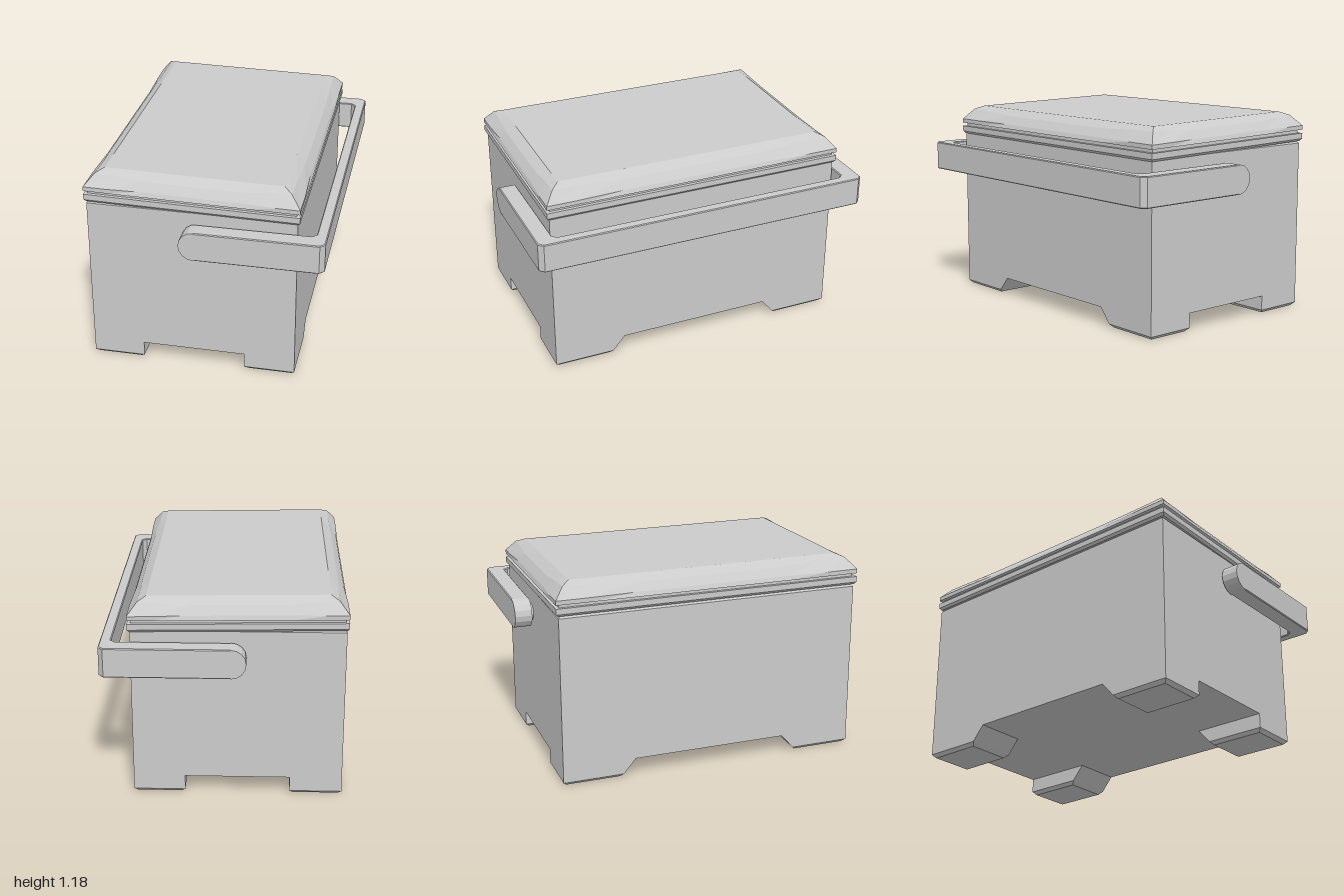
import * as THREE from 'three';

const material = new THREE.MeshStandardMaterial({ color: 0xcccccc, flatShading: true });

// Skin a stack of rings, listed bottom to top and anticlockwise from above
function loft(rings) {
  const pos = [];
  const tri = (a, b, c) => pos.push(...a, ...b, ...c);
  const n = rings[0].length;
  const centre = (r) => [0, 1, 2].map((k) => r.reduce((s, p) => s + p[k], 0) / n);
  const low = rings[0], high = rings[rings.length - 1];
  const cl = centre(low), ch = centre(high);
  for (let j = 0; j < n; j++) {
    const m = (j + 1) % n;
    for (let i = 0; i < rings.length - 1; i++) {
      const a = rings[i], b = rings[i + 1];
      tri(a[j], a[m], b[m]);
      tri(a[j], b[m], b[j]);
    }
    tri(cl, low[m], low[j]);
    tri(ch, high[j], high[m]);
  }
  const g = new THREE.BufferGeometry();
  g.setAttribute('position', new THREE.Float32BufferAttribute(pos, 3));
  g.computeVertexNormals();
  return g;
}

const rect = (y, x0, x1, z0, z1) => [[x0, y, z1], [x1, y, z1], [x1, y, z0], [x0, y, z0]];

// Lid ring: 4 corners plus 4 points per side, which may be inset and raised
// differently near the corners and mid side; the whole lid tilts towards +x
function lidRing(y, inset, yNear = y, yMid = y, insetMid = inset) {
  const cx = -0.076, hx = 0.599, hz = 0.9;
  const pts = [];
  const corners = [[-1, 1], [1, 1], [1, -1], [-1, -1]];
  corners.forEach((c, i) => {
    const d = corners[(i + 1) % 4];
    for (const t of [0, 0.1, 0.25, 0.75, 0.9]) {
      const mid = t === 0.25 || t === 0.75;
      const py = t === 0 ? y : mid ? yMid : yNear;
      const side = mid ? insetMid : inset;
      const alongX = c[1] === d[1];
      const u = c[0] + (d[0] - c[0]) * t, v = c[1] + (d[1] - c[1]) * t;
      const x = cx + u * (hx - (alongX ? inset : side));
      const z = v * (hz - (alongX ? side : inset));
      pts.push([x, py - 0.017 * (x + 0.675), z]);
    }
  });
  return pts;
}

export function createModel() {
  const root = new THREE.Group();
  const add = (name, geometry, parent = root) => {
    const mesh = new THREE.Mesh(geometry, material);
    mesh.name = name;
    parent.add(mesh);
    return mesh;
  };

  // Box body with a small bevel at its top
  const X0 = -0.665, X1 = 0.51, Z = 0.885;
  add('body', loft([
    rect(0.105, X0, X1, -Z, Z),
    rect(0.99, X0, X1, -Z, Z),
    rect(1.0, X0 + 0.01, X1 - 0.01, -Z + 0.01, Z - 0.01),
  ]));

  // Four feet with bevelled soles and sloping inner faces
  for (const [x0, x1] of [[X0, -0.37], [0.22, X1]]) {
    for (const s of [1, -1]) {
      const ring = (y, e, zi) => rect(y, x0 + e, x1 - e, s > 0 ? zi : -Z + e, s > 0 ? Z - e : -zi);
      add('foot', loft([ring(0, 0.02, 0.55), ring(0.02, 0, 0.53), ring(0.105, 0, 0.457)]));
    }
  }

  // Lid: lower rim, seal groove, upper rim, sloping shoulders and flat top
  add('lid', loft([
    lidRing(1.003, 0.012),
    lidRing(1.017, 0),
    lidRing(1.05, 0),
    lidRing(1.05, 0.02),
    lidRing(1.07, 0.02),
    lidRing(1.07, 0),
    lidRing(1.095, 0, 1.095, 1.095, 0.01),
    lidRing(1.158, 0.054, 1.153, 1.142, 0.046),
    lidRing(1.178, 0.1),
  ]));

  // Carrying handle: U-shaped bar with rounded arm ends
  const handle = new THREE.Group();
  handle.name = 'handle';
  root.add(handle);
  const R = 0.085, Y = 0.845, E = -0.045, b = 0.005;
  const half = [[E, 1], [0.645, 1], [0.672, 0.973]];
  const inner = [[0.612, 0.875], [0.587, 0.9], [E, 0.9]];
  const mirror = (list) => list.map(([x, z]) => [x, -z]).reverse();
  const plan = [...half, ...mirror(half), ...mirror(inner), ...inner];
  const bar = new THREE.ExtrudeGeometry(
    new THREE.Shape(plan.map(([x, z]) => new THREE.Vector2(x, z))),
    { depth: 2 * R - 2 * b, bevelEnabled: true, bevelSize: b, bevelThickness: b, bevelOffset: -b, bevelSegments: 1 });
  bar.rotateX(-Math.PI / 2).translate(0, Y - R + b, 0);
  add('handleBar', bar, handle);
  for (const s of [1, -1]) {
    const end = new THREE.CylinderGeometry(R, R, 0.1, 8, 1, false, Math.PI, Math.PI);
    end.rotateX(Math.PI / 2).translate(E + b, Y, s * 0.95);
    add('handleEnd', end, handle);
    // Short pivot between the arm and the body
    const pivot = new THREE.CylinderGeometry(0.05, 0.05, 0.06, 12);
    pivot.rotateX(Math.PI / 2).translate(E, Y, s * 0.9);
    add('handlePivot', pivot, handle);
  }
  return root;
}
